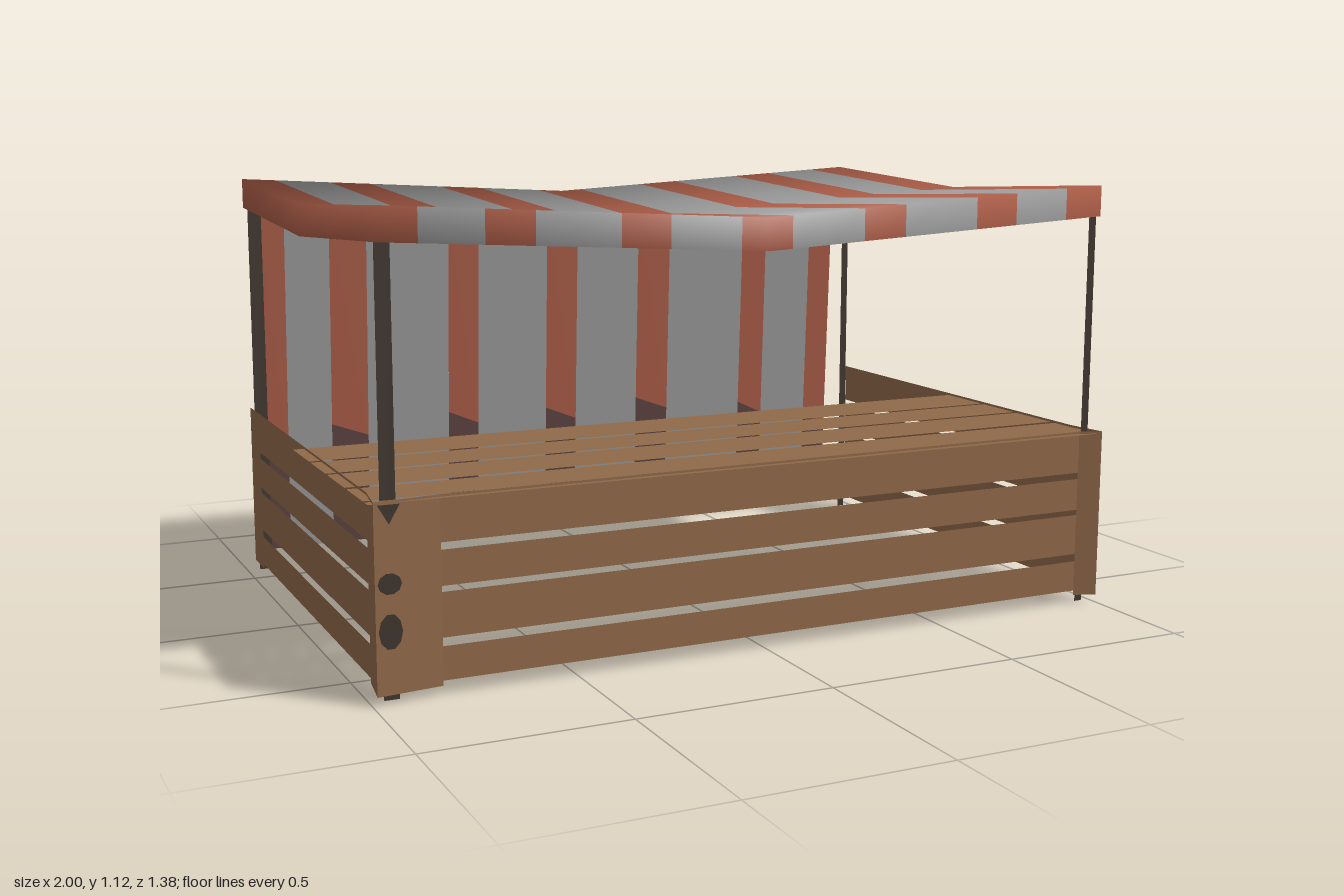
import * as THREE from 'three';

const flat = (name, color) => new THREE.MeshStandardMaterial({ name, color, side: THREE.DoubleSide });

export function createModel() {
  const wood = flat('wood', 0x916a4a);
  const red = flat('red cloth', 0xa65a45);
  const grey = flat('grey cloth', 0x979797);
  const soiled = flat('soiled red cloth', 0x5a4140);
  const iron = flat('dark pole', 0x40362e);
  const model = new THREE.Group();
  const group = (name) => {
    const g = new THREE.Group();
    g.name = name;
    model.add(g);
    return g;
  };

  // Grid of points given by a rule; an optional second rule gives soft normals
  function sheet(parent, name, material, cols, rows, point, normal) {
    const geo = new THREE.PlaneGeometry(1, 1, cols, rows);
    const { position, normal: n } = geo.attributes;
    for (let j = 0, k = 0; j <= rows; j++) {
      for (let i = 0; i <= cols; i++, k++) {
        position.setXYZ(k, ...point(i, j));
        if (normal) n.setXYZ(k, ...new THREE.Vector3(...normal(i, j)).normalize().toArray());
      }
    }
    if (!normal) geo.computeVertexNormals();
    const mesh = new THREE.Mesh(geo, material);
    mesh.name = name;
    parent.add(mesh);
  }

  // Canopy: striped sagging roof with a short skirt all round
  const canopy = group('canopy');
  const X0 = -0.965, X1 = 0.975, Z0 = -0.645, Z1 = 0.675, DROP = 0.08;
  const roofY = (x, z) => 1.115 - 0.055 * (1 - Math.abs(x) / 0.97) - 0.035 * (1 - Math.abs(z) / 0.66);
  const roofStops = [X0, -0.87, -0.715, -0.595, -0.385, -0.26, -0.075, 0.062, 0.262, 0.38, 0.59, 0.71, 0.865, X1];
  const zs = [Z0, Z0, -0.43, -0.215, 0, 0.225, 0.45, Z1, Z1];
  const last = zs.length - 1;
  const soft = (x, y, z) => [x / 0.97, y, z / 0.66];
  for (let s = 0; s < roofStops.length - 1; s++) {
    const a = roofStops[s], b = roofStops[s + 1];
    const xs = a < 0 && b > 0 ? [a, 0, b] : [a, (a + b) / 2, b];
    const hem = (j) => j === 0 || j === last;
    sheet(canopy, 'canopyStripe', s % 2 ? grey : red, 2, last,
      (i, j) => [xs[i], roofY(xs[i], zs[j]) - (hem(j) ? DROP : 0), zs[j]],
      (i, j) => soft(xs[i], hem(j) ? 0 : 1, zs[j]));
  }
  for (const x of [X0, X1]) {
    const inner = zs.slice(1, last);
    sheet(canopy, 'canopySideSkirt', red, inner.length - 1, 1,
      (i, j) => {
        const z = x > 0 ? inner[inner.length - 1 - i] : inner[i];
        return [x, roofY(x, z) - j * DROP, z];
      },
      (i, j) => soft(x, 1 - j, x > 0 ? inner[inner.length - 1 - i] : inner[i]));
  }

  // Back curtain: leans out slightly, red stripes soiled near the ground
  const curtain = group('backCurtain');
  const curtainStops = [-0.925, -0.85, -0.72, -0.61, -0.36, -0.265, -0.045, 0.055, 0.26, 0.368, 0.625, 0.71, 0.87, 0.95];
  const soilTop = [0.3, 0.37, 0.38, 0.37, 0.38, 0.34, 0.28];
  const curtainZ = (y) => -0.693 + 0.045 * (y - 0.03);
  const topY = (x) => 1.04 - 0.055 * (1 - Math.abs(x) / 0.97);
  for (let s = 0; s < curtainStops.length - 1; s++) {
    const ends = [curtainStops[s + 1], curtainStops[s]];
    const strip = (name, material, low, high) =>
      sheet(curtain, name, material, 1, 1, (i, j) => {
        const y = j ? low(i) : high(i);
        return [ends[i], y, curtainZ(y)];
      });
    const roof = (i) => topY(ends[i]);
    if (s % 2) {
      strip('curtainGreyStripe', grey, () => 0.03, roof);
    } else {
      const edge = (i) => soilTop[s / 2] + (i ? 0.02 : -0.02);
      strip('curtainRedStripe', red, edge, roof);
      strip('curtainSoiledHem', soiled, () => 0.03, edge);
    }
  }

  // Vertical board between two [x, z] points
  const board = (parent, name, p, q, y0, y1) =>
    sheet(parent, name, wood, 1, 1, (i, j) => {
      const [x, z] = i ? q : p;
      return [x, j ? y0 : y1, z];
    });

  // Slatted walls: an end strip on each side and four slats between
  const slats = [[0.034, 0.115], [0.135, 0.242], [0.256, 0.34], [0.357, 0.468]];
  function wall(name, a, b, c, d) {
    const g = group(name);
    board(g, 'endBoard', a, b, 0.022, 0.468);
    for (const [y0, y1] of slats) board(g, 'slat', b, c, y0, y1);
    board(g, 'endBoard', c, d, 0.022, 0.468);
  }
  wall('frontWall', [-0.99, 0.69], [-0.83, 0.672], [0.94, 0.668], [0.997, 0.69]);
  wall('leftWall', [0.997, 0.69], [0.98, 0.585], [0.975, -0.585], [0.997, -0.62]);
  wall('rightWall', [-0.97, -0.62], [-0.97, -0.51], [-0.975, 0.585], [-0.99, 0.69]);

  // Counter top: slats over the front half
  const counter = group('counter');
  for (const [z0, z1] of [[0.005, 0.17], [0.183, 0.325], [0.338, 0.493], [0.51, 0.645], [0.657, 0.685]]) {
    sheet(counter, 'counterSlat', wood, 1, 1, (i, j) => [i ? 0.996 : -1, 0.462, j ? z1 : z0]);
  }

  // Flat poles at the four corners
  const poles = group('poles');
  for (const [x0, x1] of [[-0.965, -0.928], [0.955, 0.977]]) {
    for (const z of [0.655, -0.59]) {
      sheet(poles, 'pole', iron, 1, 1, (i, j) => [i ? x1 : x0, j ? 0 : 1.05, z]);
    }
  }

  // Dark marks at the front corner board
  const marks = group('cornerMarks');
  for (const [y, ry] of [[0.28, 0.025], [0.17, 0.042]]) {
    const mark = new THREE.Mesh(new THREE.CircleGeometry(1, 10), iron);
    mark.name = 'cornerMark';
    mark.scale.set(0.028, ry, 1);
    mark.position.set(-0.956, y, 0.691);
    marks.add(mark);
  }
  const notch = new THREE.Mesh(new THREE.CircleGeometry(0.03, 3, -Math.PI / 2), iron);
  notch.name = 'cornerNotch';
  notch.position.set(-0.955, 0.445, 0.691);
  marks.add(notch);

  return model;
}
